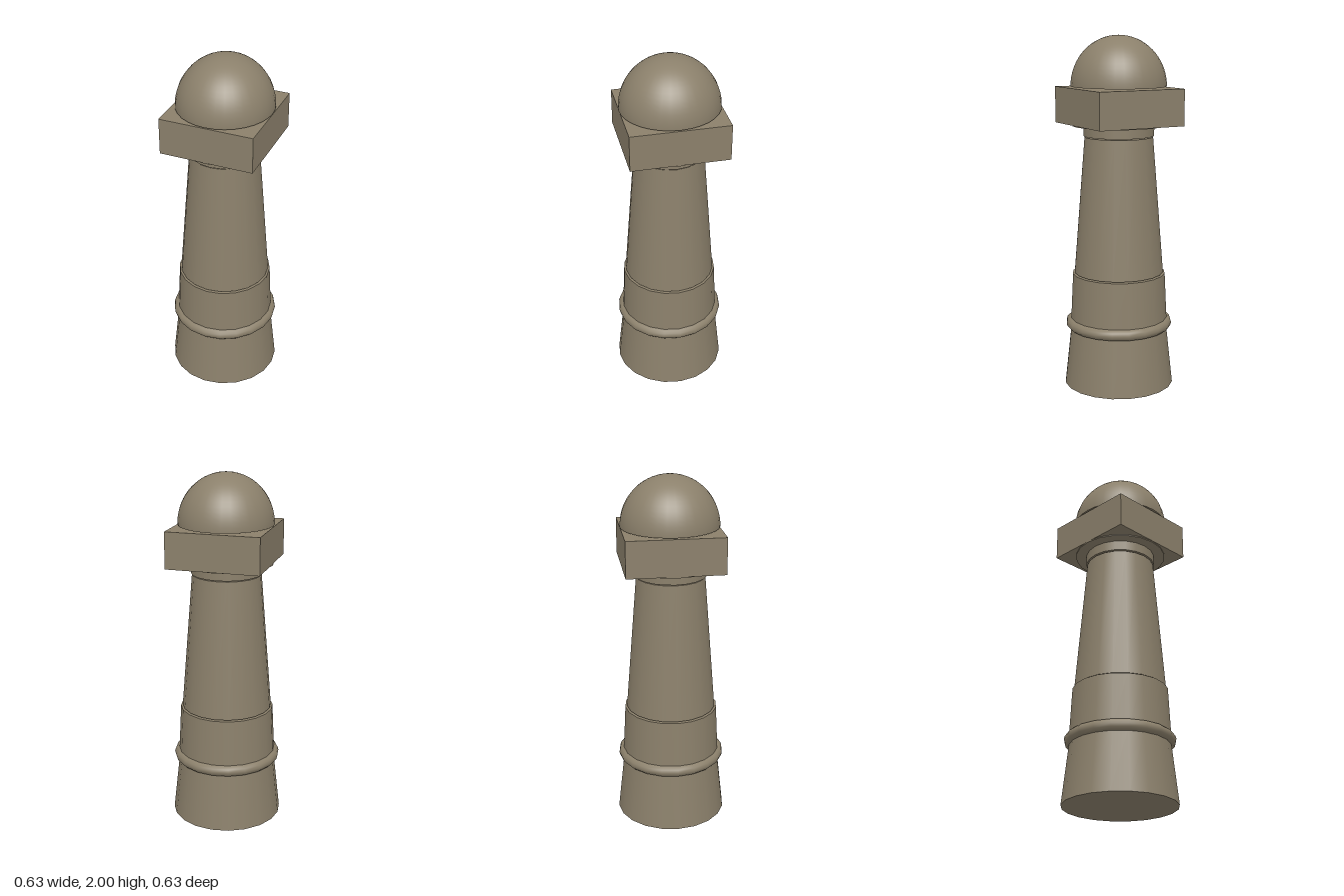
import * as THREE from 'three';

export function createModel() {
  const group = new THREE.Group();
  group.name = 'bollard';
  const stone = new THREE.MeshStandardMaterial({ color: 0x8b806b });
  stone.name = 'weathered stone';

  function add(name, geometry, x, y, z) {
    const mesh = new THREE.Mesh(geometry, stone);
    mesh.name = name;
    mesh.position.set(x, y, z);
    group.add(mesh);
    return mesh;
  }

  // Stacked round drums: name, bottom y, top y, bottom radius, top radius
  const drums = [
    ['base', 0, 0.345, 0.315, 0.277],
    ['collar', 0.345, 0.655, 0.281, 0.266],
    ['shaft', 0.661, 1.439, 0.256, 0.194],
    ['neck', 1.445, 1.503, 0.2, 0.2],
    ['capitalDisc', 1.502, 1.512, 0.262, 0.262],
  ];
  for (const [name, y0, y1, r0, r1] of drums) {
    add(name, new THREE.CylinderGeometry(r1, r0, y1 - y0, 20), 0, (y0 + y1) / 2, 0);
  }

  // Rounded moulding around the base
  const ring = new THREE.TorusGeometry(0.273, 0.033, 12, 20);
  ring.rotateX(Math.PI / 2);
  add('ringMoulding', ring, 0, 0.361, 0);

  // Square block under the dome
  add('capitalBlock', new THREE.BoxGeometry(0.525, 0.204, 0.54), 0.003, 1.61, -0.005);

  // Hemispherical top with a closed underside
  const dome = new THREE.SphereGeometry(0.266, 32, 16, 0, Math.PI * 2, 0, Math.PI / 2);
  dome.scale(1, 0.28 / 0.266, 1.03);
  add('dome', dome, 0.003, 1.72, -0.004);
  const underside = new THREE.CircleGeometry(0.266, 32);
  underside.rotateX(Math.PI / 2);
  underside.scale(1, 1, 1.03);
  add('domeUnderside', underside, 0.003, 1.72, -0.004);

  return group;
}
